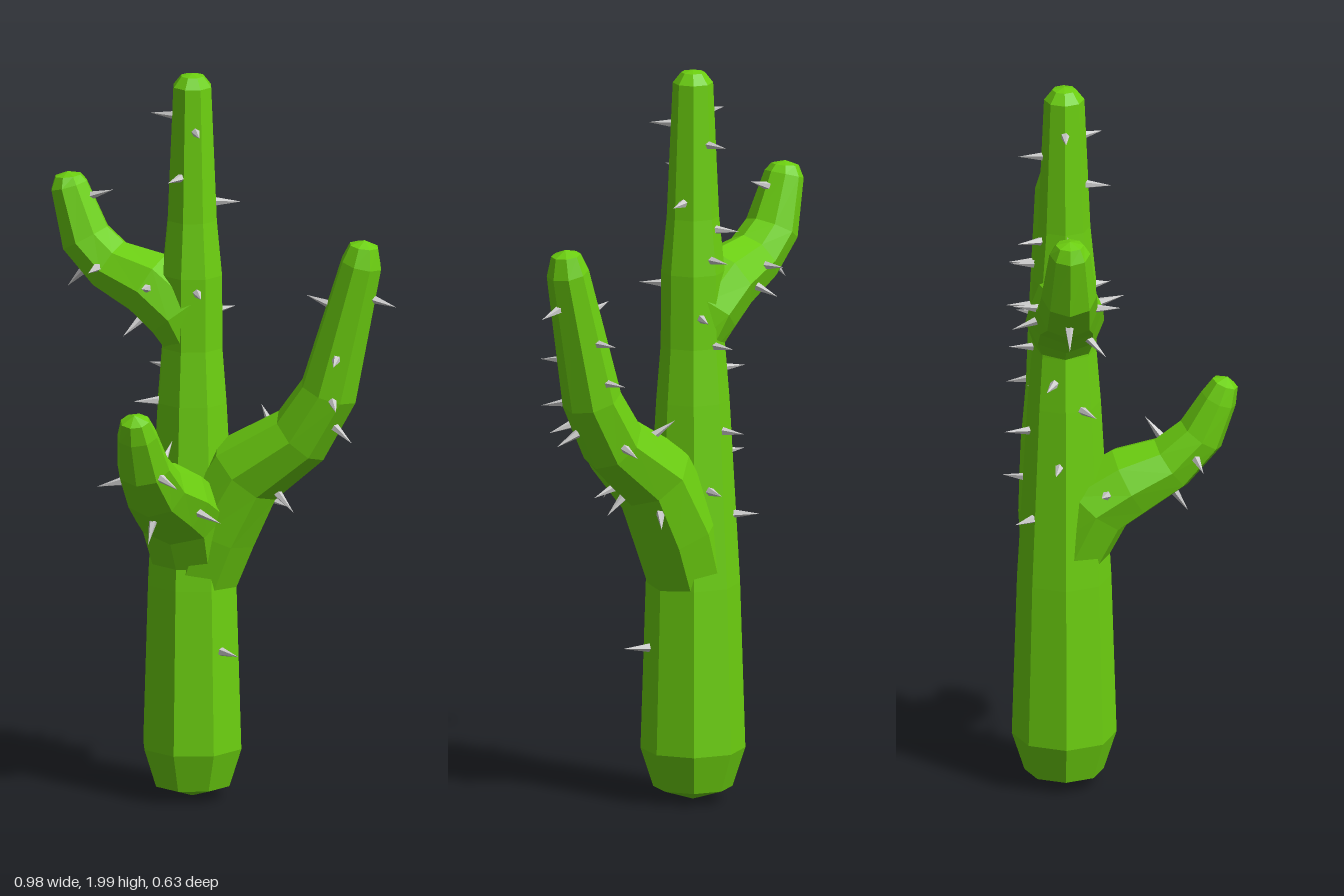
import * as THREE from 'three';

const SIDES = 8;
const green = new THREE.MeshStandardMaterial({ color: 0x6ccf10, flatShading: true });
const grey = new THREE.MeshStandardMaterial({ color: 0xcccccc, flatShading: true });
const spineGeometry = new THREE.ConeGeometry(0.013, 0.075, 5).translate(0, 0.025, 0);

// Unit direction across the limb at point j
function across(points, j) {
  const a = points[Math.max(j - 1, 0)], b = points[Math.min(j + 1, points.length - 1)];
  return new THREE.Vector2(b[1] - a[1], a[0] - b[0]).normalize();
}

// Faceted tube joining rings [x, y, radius], closed to a point at both ends
function limbGeometry(points, wide) {
  const pos = [], index = [];
  points.forEach(([x, y, r], j) => {
    const n = across(points, j);
    for (let i = 0; i < SIDES; i++) {
      const a = (i / SIDES) * Math.PI * 2, c = Math.cos(a) * r;
      pos.push(x + n.x * c, y + n.y * c, Math.sin(a) * r * wide);
    }
  });
  for (let j = 0; j < points.length - 1; j++) {
    for (let i = 0; i < SIDES; i++) {
      const k = (i + 1) % SIDES, lo = j * SIDES, hi = lo + SIDES;
      if (points[j][2] > 0) index.push(lo + i, hi + i, lo + k);
      if (points[j + 1][2] > 0) index.push(lo + k, hi + i, hi + k);
    }
  }
  const geo = new THREE.BufferGeometry();
  geo.setAttribute('position', new THREE.Float32BufferAttribute(pos, 3));
  geo.setIndex(index);
  const flat = geo.toNonIndexed();
  flat.computeVertexNormals();
  return flat;
}

// Spine standing on the limb's skin at a centreline height and an angle around it
function makeSpine(points, wide, height, degrees) {
  let j = 0;
  while (points[j + 1][1] < height) j++;
  const t = (height - points[j][1]) / (points[j + 1][1] - points[j][1]);
  const [x, y, r] = points[j].map((v, i) => THREE.MathUtils.lerp(v, points[j + 1][i], t));
  const n = across(points, j).lerp(across(points, j + 1), t).normalize();
  const a = THREE.MathUtils.degToRad(degrees), c = Math.cos(a), s = Math.sin(a);
  const dir = new THREE.Vector3(n.x * c, n.y * c, s);
  const spine = new THREE.Mesh(spineGeometry, grey);
  spine.name = 'spine';
  spine.position.set(x + n.x * c * r, y + n.y * c * r, s * r * wide);
  spine.quaternion.setFromUnitVectors(new THREE.Vector3(0, 1, 0), dir);
  return spine;
}

// Limb with its spines spread evenly between two heights
function makeLimb(name, wide, points, low, high, angles) {
  const group = new THREE.Group();
  group.name = name;
  const skin = new THREE.Mesh(limbGeometry(points, wide), green);
  skin.name = name + 'Skin';
  group.add(skin);
  angles.forEach((angle, i) => {
    const height = THREE.MathUtils.lerp(low, high, i / (angles.length - 1));
    group.add(makeSpine(points, wide, height, angle));
  });
  group.position.set(-0.085, 0, -0.147);
  return group;
}

export function createModel() {
  const model = new THREE.Group();
  model.name = 'cactus';

  const trunkPoints = [[0, 0.01, 0], [0, 0.045, 0.106], [0, 0.15, 0.14], [0, 0.6, 0.126],
    [0, 1.1, 0.098], [0, 1.25, 0.086], [0, 1.45, 0.085], [0, 1.6, 0.07], [0, 1.965, 0.054],
    [0, 1.993, 0.032], [0, 2, 0]];
  const trunk = makeLimb('trunk', 1, trunkPoints, 0.79, 1.88,
    [230, 290, 190, 260, 150, 200, 270, 300, 60, 275, 250, 340, 100, 270, 180]);
  trunk.add(makeSpine(trunkPoints, 1, 0.43, 30), makeSpine(trunkPoints, 1, 1.85, 60));

  const leftArm = makeLimb('leftArm', 1,
    [[0, 0.58, 0], [0.015, 0.62, 0.112], [0.065, 0.76, 0.12], [0.155, 0.92, 0.11],
      [0.31, 1.03, 0.089], [0.39, 1.16, 0.08], [0.483, 1.52, 0.057], [0.49, 1.57, 0.04],
      [0.492, 1.585, 0]],
    0.88, 1.44, [320, 10, 215, 290, 20, 60, 270, 75, 270, 180, 0]);

  const rightArm = makeLimb('rightArm', 1.05,
    [[0.03, 1.2, 0], [0.01, 1.24, 0.07], [-0.03, 1.34, 0.1], [-0.12, 1.41, 0.095],
      [-0.235, 1.452, 0.076], [-0.305, 1.52, 0.071], [-0.352, 1.66, 0.052],
      [-0.355, 1.687, 0.036], [-0.356, 1.697, 0]],
    1.38, 1.48, [140, 75, 250, 275, 90, 180]);
  rightArm.add(makeSpine([[-0.305, 1.52, 0.071], [-0.352, 1.66, 0.052]], 1.05, 1.62, 0));

  // Same kind of limb, turned to grow toward the front
  const frontArm = makeLimb('frontArm', 1.12,
    [[0, 0.62, 0], [0.02, 0.68, 0.1], [0.08, 0.81, 0.11], [0.175, 0.868, 0.1],
      [0.285, 0.92, 0.078], [0.365, 1, 0.066], [0.412, 1.1, 0.05], [0.43, 1.145, 0.036],
      [0.436, 1.162, 0]],
    0.84, 1, [110, 290, 0, 190, 70, 300]);
  frontArm.rotation.y = -Math.PI / 2;

  model.add(trunk, leftArm, rightArm, frontArm);
  return model;
}
